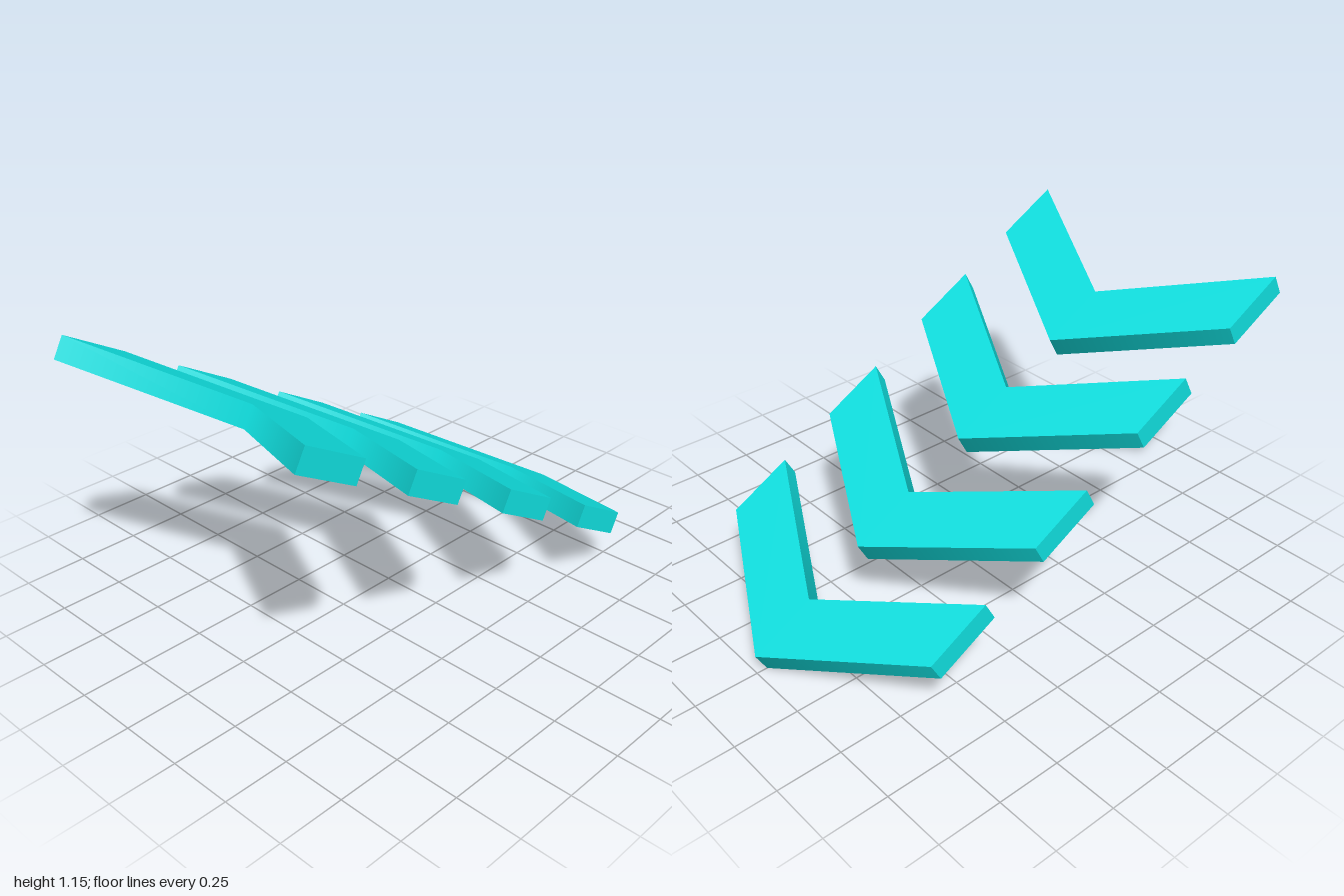
import * as THREE from 'three';

const HALF_WIDTH = 0.592, SWEEP = 0.356, DEPTH = 0.272, THICKNESS = 0.087;
const TILT = THREE.MathUtils.degToRad(28.65);
const OFFSETS = [0, 0.527, 1.074, 1.601]; // tip positions along the slope

// Flat chevron lying in the xz plane, tip at the origin pointing to -z
function chevronGeometry() {
  const shape = new THREE.Shape([
    [0, 0], [-HALF_WIDTH, -SWEEP], [-HALF_WIDTH, -SWEEP - DEPTH],
    [0, -DEPTH], [HALF_WIDTH, -SWEEP - DEPTH], [HALF_WIDTH, -SWEEP],
  ].map(([x, y]) => new THREE.Vector2(x, y)));
  const geometry = new THREE.ExtrudeGeometry(shape, { depth: THICKNESS, bevelEnabled: false });
  geometry.rotateX(-Math.PI / 2);

  // Blend the wall normals where the two wings meet; all other edges stay sharp
  const { position, normal } = geometry.attributes;
  for (let i = 0; i < position.count; i++) {
    if (Math.abs(position.getX(i)) < 1e-5 && Math.abs(normal.getY(i)) < 0.5) {
      normal.setXYZ(i, 0, 0, Math.sign(normal.getZ(i)));
    }
  }
  return geometry;
}

export function createModel() {
  const model = new THREE.Group();
  model.name = 'chevronArrows';

  const cyan = new THREE.MeshStandardMaterial({ color: 0x10e0e0 });
  cyan.name = 'cyan';

  // Inclined row of chevrons rising towards the front
  const row = new THREE.Group();
  row.name = 'chevronRow';
  row.rotation.x = -TILT;
  row.position.z = -0.958;
  const geometry = chevronGeometry();
  OFFSETS.forEach((offset, i) => {
    const chevron = new THREE.Mesh(geometry, cyan);
    chevron.name = `chevron${i + 1}`;
    chevron.position.z = offset;
    row.add(chevron);
  });
  model.add(row);
  return model;
}
